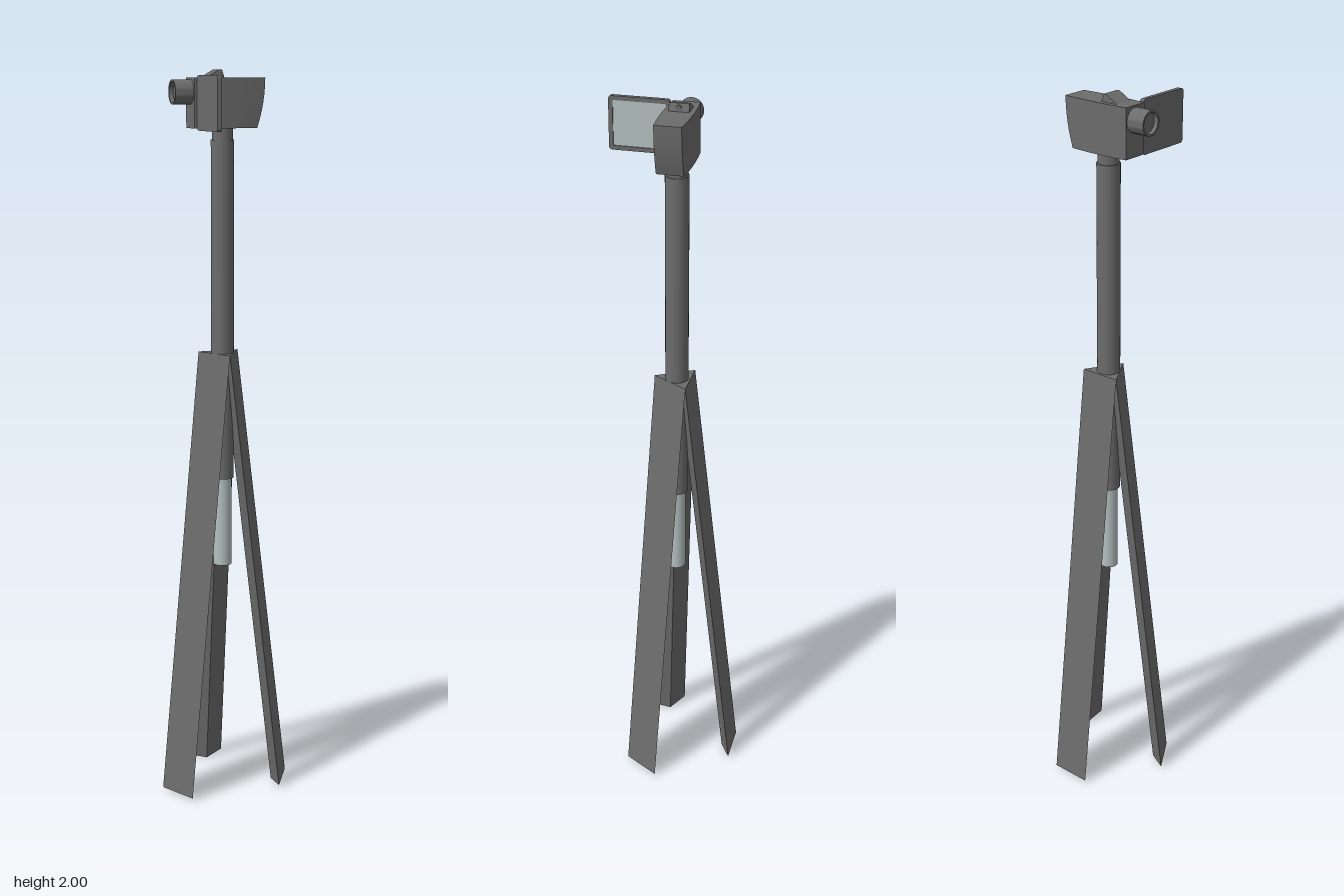
import * as THREE from 'three';
import { toCreasedNormals } from 'three/addons/utils/BufferGeometryUtils.js';

const dark = new THREE.MeshStandardMaterial({ color: 0x6c6c6c });
const pale = new THREE.MeshStandardMaterial({ color: 0xb4c0c0 });

function add(parent, name, geometry, material, x = 0, y = 0, z = 0) {
  const mesh = new THREE.Mesh(geometry, material);
  mesh.name = name;
  mesh.position.set(x, y, z);
  parent.add(mesh);
  return mesh;
}

// Apply a rule to every vertex, then rebuild normals.
function reshape(geometry, rule) {
  const p = geometry.attributes.position;
  const v = new THREE.Vector3();
  for (let i = 0; i < p.count; i++) {
    rule(v.fromBufferAttribute(p, i));
    p.setXYZ(i, v.x, v.y, v.z);
  }
  return toCreasedNormals(geometry, 0.5);
}

// Rounded rectangle, centred on the origin.
function roundedRect(path, w, h, r) {
  const x = w / 2, y = h / 2;
  path.moveTo(-x + r, -y);
  path.lineTo(x - r, -y).quadraticCurveTo(x, -y, x, -y + r);
  path.lineTo(x, y - r).quadraticCurveTo(x, y, x - r, y);
  path.lineTo(-x + r, y).quadraticCurveTo(-x, y, -x, y - r);
  path.lineTo(-x, -y + r).quadraticCurveTo(-x, -y, -x + r, -y);
  return path;
}

// Three-sided leg: a third of the triangular hub, slanting out to its foot.
function legGeometry(angle, dx, dz) {
  const height = 1.25, half = 0.0565, depth = 0.0326;
  const section = new THREE.Shape([
    new THREE.Vector2(0, 0), new THREE.Vector2(-half, -depth), new THREE.Vector2(half, -depth),
  ]);
  const g = new THREE.ExtrudeGeometry(section, { depth: height, bevelEnabled: false });
  g.rotateX(-Math.PI / 2);
  const up = new THREE.Vector3(0, 1, 0);
  return reshape(g, v => {
    const t = 1 - v.y / height;
    v.y += t * v.z * 0.2;
    v.applyAxisAngle(up, angle);
    v.x += dx * t;
    v.z += dz * t;
  });
}

export function createModel() {
  const model = new THREE.Group();
  model.name = 'cameraOnTripod';

  // Tripod legs
  const tripod = new THREE.Group();
  tripod.name = 'tripod';
  tripod.position.set(0.005, 0, -0.015);
  model.add(tripod);
  add(tripod, 'backLeg', legGeometry(Math.PI, 0, -0.139), dark);
  add(tripod, 'leftLeg', legGeometry(Math.PI / 3, 0.13, 0.0565), dark);
  add(tripod, 'rightLeg', legGeometry(-Math.PI / 3, -0.13, 0.0565), dark);

  // Centre column and its inner tube
  add(model, 'column', new THREE.CylinderGeometry(0.031, 0.031, 0.92, 24), dark, 0.005, 1.36, -0.011);
  add(model, 'columnNeck', new THREE.CylinderGeometry(0.028, 0.028, 0.04, 24), dark, 0.005, 1.835, -0.011);
  add(model, 'innerTube', new THREE.CylinderGeometry(0.025, 0.025, 0.25, 24), pale, 0.005, 0.775, -0.011);

  const camera = new THREE.Group();
  camera.name = 'videoCamera';
  model.add(camera);

  // Camera body: bulging sides, rear end tucked in towards the bottom
  const body = reshape(new THREE.BoxGeometry(0.196, 0.13, 0.07, 12, 6, 1), v => {
    const u = v.x / 0.098, low = 0.5 - v.y / 0.13;
    v.z *= 1 + 0.13 * (1 - u * u);
    if (u > 0) v.x -= 0.022 * u * low * low;
  });
  add(camera, 'cameraBody', body, dark, 0.015, 1.915, -0.014);

  // Lens barrel with an open, recessed front
  const barrel = new THREE.LatheGeometry([
    [0.032, 0], [0.032, 0.052], [0.027, 0.052], [0.027, 0.04], [0, 0.04],
  ].map(([r, h]) => new THREE.Vector2(r, h)), 32);
  add(camera, 'lens', toCreasedNormals(barrel, 0.5), dark, -0.081, 1.943, -0.014).rotation.z = Math.PI / 2;

  // Raised wedge on top, with a round eyepiece in its rear face
  const wedge = new THREE.Shape([[-0.05, 1.978], [0.003, 1.978], [-0.004, 2], [-0.012, 2]]
    .map(([x, y]) => new THREE.Vector2(x, y)));
  add(camera, 'viewfinder', new THREE.ExtrudeGeometry(wedge, { depth: 0.052, bevelEnabled: false }),
    dark, 0, 0, -0.04);
  add(camera, 'eyepiece', new THREE.CylinderGeometry(0.007, 0.007, 0.006, 16), dark, 0, 1.989, -0.014)
    .rotation.z = Math.PI / 2;

  // Flip-out screen: rounded frame around a recessed panel
  const screen = new THREE.Group();
  screen.name = 'flipScreen';
  screen.position.set(-0.071, 1.915, 0.105);
  screen.rotation.y = Math.PI / 2;
  camera.add(screen);
  const frame = roundedRect(new THREE.Shape(), 0.16, 0.14, 0.01);
  const back = new THREE.ExtrudeGeometry(frame, { depth: 0.008, bevelEnabled: false });
  add(screen, 'screenBack', back, dark, 0, 0, -0.006);
  const rim = roundedRect(new THREE.Shape(), 0.16, 0.14, 0.01);
  rim.holes.push(roundedRect(new THREE.Path(), 0.138, 0.118, 0.003));
  add(screen, 'screenRim', new THREE.ExtrudeGeometry(rim, { depth: 0.004, bevelEnabled: false }),
    dark, 0, 0, 0.002);
  add(screen, 'screenPanel', new THREE.BoxGeometry(0.138, 0.118, 0.004), pale, 0, 0, 0.001);

  return model;
}
